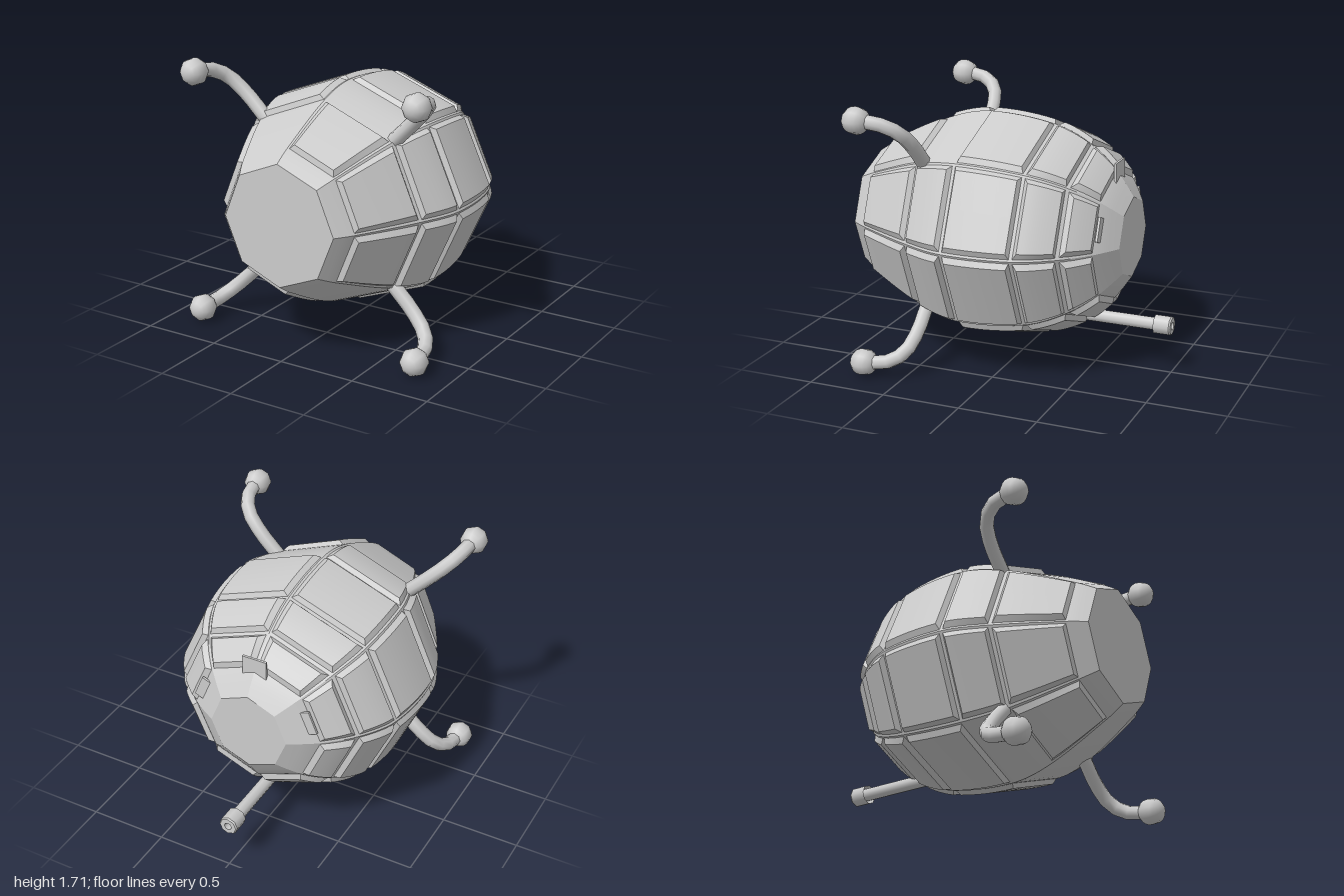
import * as THREE from 'three';
import { mergeGeometries } from 'three/addons/utils/BufferGeometryUtils.js';

const CY = 0.867;
// hull stations: z, half width, half height
const STATIONS = [
  [1, 0.38, 0.38], [0.9, 0.45, 0.445], [0.5, 0.665, 0.645], [0.22, 0.765, 0.71],
  [-0.22, 0.735, 0.665], [-0.46, 0.6, 0.555], [-0.63, 0.42, 0.4], [-0.73, 0.257, 0.257],
];

// smooth half width (i = 1) or half height (i = 2) at depth z
function radius(z, i) {
  const S = STATIONS, n = S.length - 1;
  let k = 0;
  while (k < n - 1 && z < S[k + 1][0]) k++;
  const slope = (j) => {
    const a = S[Math.max(j - 1, 0)], b = S[Math.min(j + 1, n)];
    return (b[i] - a[i]) / (b[0] - a[0]);
  };
  const h = S[k + 1][0] - S[k][0], t = (z - S[k][0]) / h, t2 = t * t, t3 = t2 * t;
  return (2 * t3 - 3 * t2 + 1) * S[k][i] + (t3 - 2 * t2 + t) * h * slope(k)
    + (3 * t2 - 2 * t3) * S[k + 1][i] + (t3 - t2) * h * slope(k + 1);
}

function corner(k, z) {
  const a = k * Math.PI / 4;
  return new THREE.Vector3(radius(z, 1) * Math.sin(a), CY + radius(z, 2) * Math.cos(a), z);
}

// point on octagon side k, lifted along the surface normal
function hullPoint(k, u, z, lift = 0) {
  const p = corner(k, z).lerp(corner(k + 1, z), u);
  if (lift) {
    const across = corner(k + 1, z).sub(corner(k, z));
    const e = 0.01;
    const back = corner(k, z - e).lerp(corner(k + 1, z - e), u)
      .sub(corner(k, z + e).lerp(corner(k + 1, z + e), u));
    p.addScaledVector(across.cross(back).normalize(), lift);
  }
  return p;
}

// surface patch from f(u, v)
function grid(f, nu, nv) {
  const pos = [], idx = [];
  for (let j = 0; j <= nv; j++) {
    for (let i = 0; i <= nu; i++) pos.push(...f(i / nu, j / nv).toArray());
  }
  for (let j = 0; j < nv; j++) {
    for (let i = 0; i < nu; i++) {
      const a = j * (nu + 1) + i, b = a + 1, c = a + nu + 1, d = c + 1;
      idx.push(a, b, d, a, d, c);
    }
  }
  const g = new THREE.BufferGeometry();
  g.setAttribute('position', new THREE.Float32BufferAttribute(pos, 3));
  g.setIndex(idx);
  g.computeVertexNormals();
  return g;
}

// raised armour panel with bevelled edges
function panelGeometry(k, z0, z1) {
  const mid = (z0 + z1) / 2;
  const width = corner(k, mid).distanceTo(corner(k + 1, mid));
  const at = (u, v, inset, lift) => {
    const du = inset / width;
    const za = z0 - inset * 0.7, zb = z1 + inset * 0.7;
    return hullPoint(k, du + u * (1 - 2 * du), za + v * (zb - za), lift);
  };
  const top = (u, v) => at(u, v, 0.042, 0.03);
  const base = (u, v) => at(u, v, 0.012, -0.003);
  const skirt = (edge) => grid((s, t) => (t ? top(...edge(s)) : base(...edge(s))), 6, 1);
  return mergeGeometries([
    grid(top, 2, 6),
    skirt((s) => [s, 0]),
    skirt((s) => [1 - s, 1]),
    skirt((s) => [0, 1 - s]),
    skirt((s) => [1, s]),
  ]);
}

export function createModel() {
  const group = new THREE.Group();
  const grey = new THREE.MeshStandardMaterial({ color: 0xcccccc });
  grey.name = 'light grey';
  const add = (name, geometry, parent = group) => {
    const m = new THREE.Mesh(geometry, grey);
    m.name = name;
    parent.add(m);
    return m;
  };

  // octagonal barrel hull
  const sides = [];
  for (let k = 0; k < 8; k++) sides.push(grid((u, v) => hullPoint(k, u, 1 - 1.73 * v), 1, 36));
  add('hull', mergeGeometries(sides));
  add('frontCap', new THREE.CircleGeometry(0.38, 8)).position.set(0, CY, 1);
  const backCap = add('backCap', new THREE.CircleGeometry(0.257, 8));
  backCap.position.set(0, CY, -0.73);
  backCap.rotation.y = Math.PI;

  // armour panels, with a few bays left bare
  const bare = new Set(['0-1', '7-0', '3-0', '3-1', '4-1']);
  const panels = new THREE.Group();
  panels.name = 'armourPanels';
  group.add(panels);
  for (let k = 0; k < 8; k++) {
    for (let r = 0; r < 5; r++) {
      if (bare.has(`${k}-${r}`)) continue;
      add('panel', panelGeometry(k, STATIONS[r + 1][0], STATIONS[r + 2][0]), panels);
    }
  }

  // four curved legs with ball feet
  for (const sx of [1, -1]) {
    for (const sy of [1, -1]) {
      const leg = new THREE.Group();
      leg.name = (sy > 0 ? 'upper' : 'lower') + (sx > 0 ? 'Left' : 'Right') + 'Leg';
      group.add(leg);
      const pts = [[0.44, 0.46], [0.6, 0.465], [0.7, 0.505], [0.755, 0.6], [0.772, 0.76]]
        .map(([x, z]) => new THREE.Vector3(sx * x, CY + sy * x * 0.995, z));
      add('strut', new THREE.TubeGeometry(new THREE.CatmullRomCurve3(pts), 8, 0.046, 8), leg);
      const ball = add('ballFoot', new THREE.SphereGeometry(0.087, 8, 10), leg);
      ball.rotation.x = Math.PI / 2;
      ball.position.set(sx * 0.772, CY + sy * 0.768, 0.75);
    }
  }

  // rear pipe with a hollow nozzle
  const pipe = add('rearPipe', new THREE.CylinderGeometry(0.042, 0.042, 0.55, 8));
  pipe.rotation.x = Math.PI / 2;
  pipe.position.set(0, 0.32, -0.635);
  const profile = [[0.03, 0.04], [0.062, 0], [0.062, 0.1], [0.055, 0.11], [0.025, 0.11], [0.025, 0.07], [0, 0.07]];
  const rings = [];
  for (let i = 0; i < profile.length - 1; i++) {
    rings.push(new THREE.LatheGeometry(
      [profile[i], profile[i + 1]].map(([r, h]) => new THREE.Vector2(r, h)), 8));
  }
  const nozzle = add('nozzle', mergeGeometries(rings));
  nozzle.rotation.x = -Math.PI / 2;
  nozzle.position.set(0, 0.32, -0.89);

  // thin fins around the tail
  add('topFin', new THREE.BoxGeometry(0.16, 0.15, 0.015)).position.set(0, 1.268, -0.635);
  for (const s of [1, -1]) {
    const fin = add('sideFin', new THREE.BoxGeometry(0.07, 0.15, 0.015));
    fin.position.set(s * 0.36, 1.005, -0.64);
    fin.rotation.z = s * 0.39;
  }
  return group;
}
